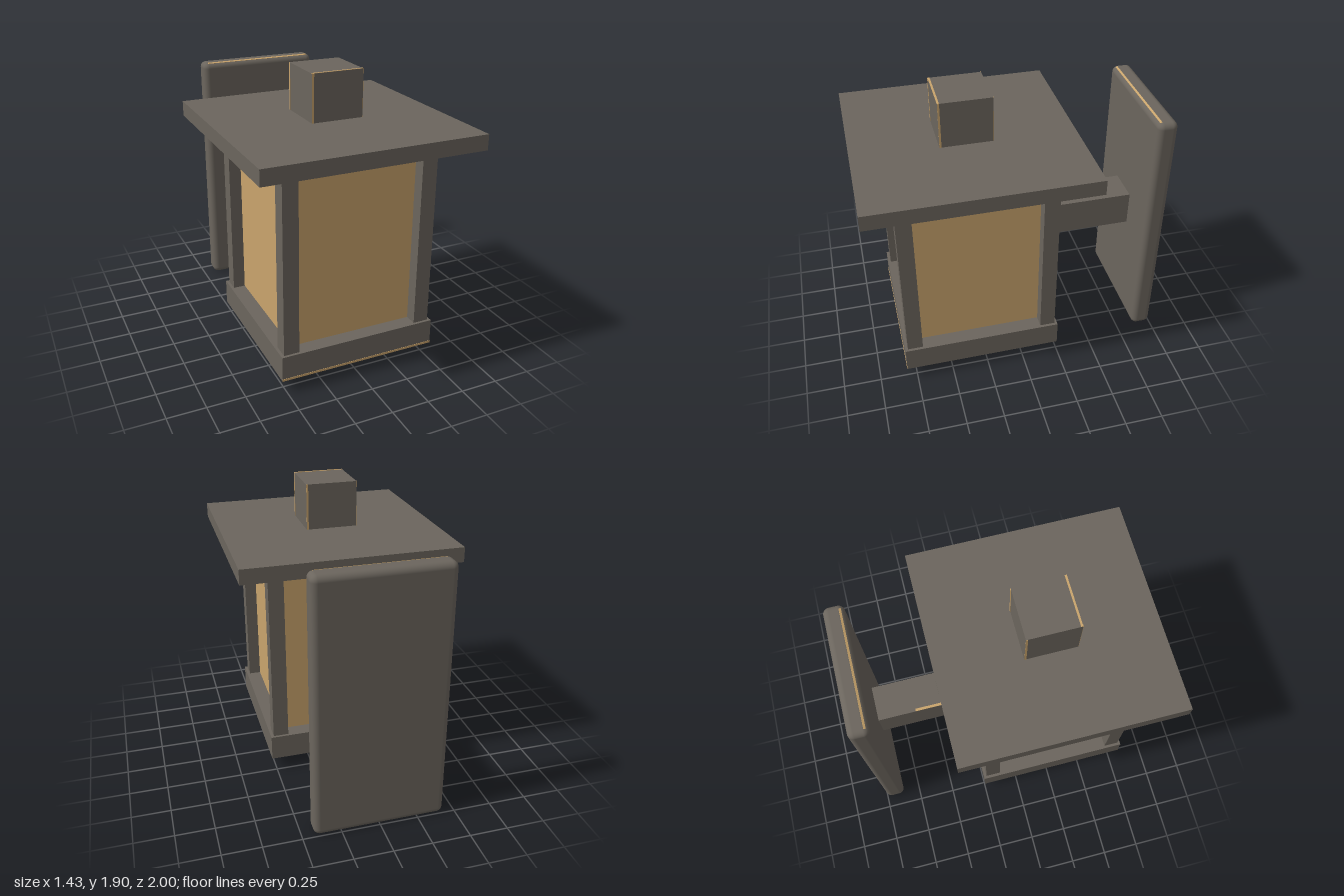
import * as THREE from 'three';
import { RoundedBoxGeometry } from 'three/addons/geometries/RoundedBoxGeometry.js';

export function createModel() {
  const group = new THREE.Group();
  const metal = new THREE.MeshStandardMaterial({ color: 0x6b655d });
  metal.name = 'dark metal';
  const amber = new THREE.MeshStandardMaterial({ color: 0xc9a46c });
  amber.name = 'amber glass';

  const add = (name, geometry, material, x, y, z) => {
    const mesh = new THREE.Mesh(geometry, material);
    mesh.name = name;
    mesh.position.set(x, y, z);
    group.add(mesh);
    return mesh;
  };
  // Box given by its min and max corners
  const box = (name, material, [x0, y0, z0], [x1, y1, z1]) =>
    add(name, new THREE.BoxGeometry(x1 - x0, y1 - y0, z1 - z0), material,
      (x0 + x1) / 2, (y0 + y1) / 2, (z0 + z1) / 2);

  // Lantern body: base, glass, roof and the cap hovering just above it
  box('base', metal, [-0.53, 0.09, -0.247], [0.53, 0.26, 0.815]);
  box('glass', amber, [-0.43, 0.26, -0.147], [0.43, 1.475, 0.715]);
  box('roof', metal, [-0.717, 1.475, -0.435], [0.717, 1.575, 1]);
  box('cap', metal, [-0.17, 1.597, 0.113], [0.17, 1.9, 0.453]);

  // Corner posts
  for (const x of [-0.46, 0.46]) {
    for (const z of [-0.178, 0.746]) {
      box('cornerPost', metal, [x - 0.051, 0.26, z - 0.051], [x + 0.051, 1.475, z + 0.051]);
    }
  }

  // Wall bracket
  box('bracketArm', metal, [-0.12, 0.74, -0.9], [0.12, 0.978, -0.14]);
  add('wallPlate', new RoundedBoxGeometry(0.85, 1.71, 0.134, 4, 0.04), metal, 0, 0.855, -0.933);

  // Thin amber edge trims
  const t = 0.002, w = 0.013;
  box('capTrimFront', amber, [-0.17, 1.597, 0.453], [-0.17 + w, 1.9, 0.453 + t]);
  box('capTrimLeft', amber, [0.17, 1.597, 0.453 - w], [0.17 + t, 1.9, 0.453]);
  box('capTrimBack', amber, [0.17 - w, 1.597, 0.113 - t], [0.17, 1.9, 0.113]);
  box('capTrimRight', amber, [-0.17 - t, 1.597, 0.113], [-0.17, 1.9, 0.113 + w]);
  box('capTrimTop', amber, [-0.17, 1.9, 0.453 - w], [0.17, 1.9 + t, 0.453]);
  box('baseTrim', amber, [-0.53, 0.09, 0.815], [0.53, 0.105, 0.815 + t]);
  box('armTrim', amber, [-0.12, 0.978, -0.61], [-0.102, 0.978 + t, -0.14]);
  const plateTrim = add('plateTrim', new THREE.BoxGeometry(0.78, 0.003, 0.014), amber, 0, 1.707, -0.892);
  plateTrim.rotation.x = 0.4;

  return group;
}
